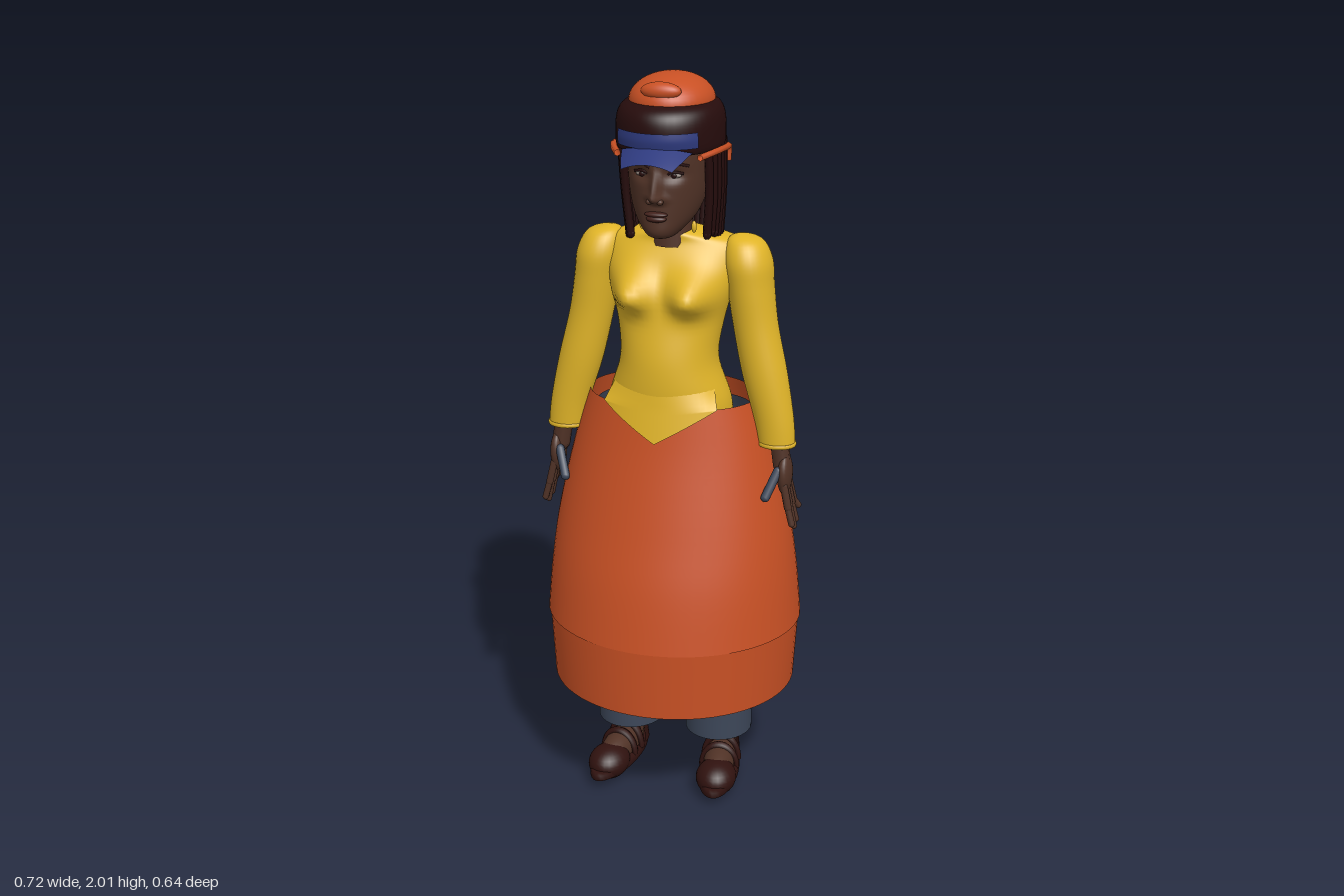
import * as THREE from 'three';
import { mergeVertices } from 'three/addons/utils/BufferGeometryUtils.js';

const paint = (name, color, side = THREE.FrontSide) => {
  const m = new THREE.MeshStandardMaterial({ color, side });
  m.name = name;
  return m;
};

// Surface from fn(u, v) -> [x, y, z], smooth and welded
function grid(fn, nu, nv, flip = false) {
  const pos = [], idx = [];
  for (let j = 0; j <= nv; j++) for (let i = 0; i <= nu; i++) pos.push(...fn(i / nu, j / nv));
  for (let j = 0; j < nv; j++) for (let i = 0; i < nu; i++) {
    const a = j * (nu + 1) + i, b = a + 1, c = a + nu + 1, d = c + 1;
    if (flip) idx.push(a, c, b, b, c, d); else idx.push(a, b, c, b, d, c);
  }
  const g = new THREE.BufferGeometry();
  g.setAttribute('position', new THREE.Float32BufferAttribute(pos, 3));
  g.setIndex(idx);
  const m = mergeVertices(g, 1e-5);
  m.computeVertexNormals();
  return m;
}

// Smooth skin over level ellipses [y, cx, cz, rx, rz]; angle 0 is the front
function loft(rings, { seg = 32, sub = 5, from = 0, to = Math.PI * 2, bend = p => p } = {}) {
  const n = rings.length - 1;
  const at = v => {
    const k = Math.min(Math.floor(v * n + 1e-9), n - 1), t = v * n - k;
    const [p, q, r, s] = [k - 1, k, k + 1, k + 2].map(i => rings[Math.max(0, Math.min(n, i))]);
    return q.map((_, i) => 0.5 * (2 * q[i] + (r[i] - p[i]) * t + (2 * p[i] - 5 * q[i] + 4 * r[i] - s[i]) * t * t
      + (3 * q[i] - p[i] - 3 * r[i] + s[i]) * t * t * t));
  };
  return grid((u, v) => {
    const [y, cx, cz, rx, rz] = at(v), a = from + (to - from) * u;
    return bend([cx + Math.max(0, rx) * Math.sin(a), y, cz + Math.max(0, rz) * Math.cos(a)]);
  }, seg, n * sub, rings[n][0] < rings[0][0]);
}

const ball = (rx, ry, rz, w = 24, h = 16) => new THREE.SphereGeometry(1, w, h).scale(rx, ry, rz);
const bump = (d, r) => Math.exp(-(d * d) / (r * r));

// Rounded rod between two points
function rod(p, q, r, seg = 8) {
  const a = new THREE.Vector3(...p), b = new THREE.Vector3(...q), d = b.clone().sub(a);
  const g = new THREE.CapsuleGeometry(r, d.length(), 4, seg);
  g.applyQuaternion(new THREE.Quaternion().setFromUnitVectors(new THREE.Vector3(0, 1, 0), d.normalize()));
  return g.translate(...a.add(b).multiplyScalar(0.5).toArray());
}
const tube = (pts, r) => new THREE.TubeGeometry(
  new THREE.CatmullRomCurve3(pts.map(p => new THREE.Vector3(...p))), 16, r, 6);

export function createModel() {
  const D = THREE.DoubleSide;
  const orange = paint('orange cloth', 0xc85024, D), yellow = paint('yellow cloth', 0xe0b428, D);
  const denim = paint('grey blue denim', 0x3c4658, D), blue = paint('blue cap', 0x2e3a7e, D);
  const skin = paint('brown skin', 0x503226), hairMat = paint('dark hair', 0x260c0c, D);
  const leather = paint('dark leather', 0x30120f, D), lip = paint('lips', 0x42211b);
  const white = paint('eye white', 0x8c8078);
  const model = new THREE.Group();
  const add = (name, geo, mat, pos = [0, 0, 0], parent = model) => {
    const m = new THREE.Mesh(geo, mat);
    m.name = name;
    m.position.set(...pos);
    parent.add(m);
    return m;
  };

  // Skirt with a separate hem band
  add('skirt', loft([[0.495, 0, 0, 0.356, 0.322], [0.65, 0, 0, 0.343, 0.291], [0.8, 0, 0, 0.321, 0.25],
    [1.0, 0, 0, 0.275, 0.198], [1.14, 0, 0.005, 0.23, 0.165]], { seg: 64 }), orange);
  add('skirtHem', loft([[0.305, 0, 0, 0.339, 0.32], [0.495, 0, 0, 0.351, 0.32]], { seg: 64 }), orange);

  // Bodice, shaped at the bust
  add('bodice', loft([[1.04, 0, 0.02, 0.17, 0.13], [1.14, 0, 0.035, 0.165, 0.135], [1.25, 0, 0.045, 0.132, 0.125],
    [1.35, 0, 0.03, 0.142, 0.12], [1.45, 0, 0.015, 0.17, 0.11], [1.52, 0, -0.008, 0.19, 0.1],
    [1.565, 0, -0.015, 0.175, 0.083], [1.588, 0, 0, 0.085, 0.07], [1.595, 0, 0.01, 0.055, 0.055]], {
    seg: 72, sub: 6, bend: ([x, y, z]) => {
      if (z > 0) z += 0.075 * bump(Math.abs(x) - 0.082, 0.052) * bump(y - 1.435, y < 1.435 ? 0.04 : 0.06);
      else z += 0.018 * bump(x, 0.03) * bump(y - 1.35, 0.15);
      return [x, y, z];
    } }), yellow);

  // Pointed front of the bodice, lying over the skirt
  add('bodicePoint', grid((u, v) => {
    const s = u * 2 - 1, over = (x, y) => {
      const k = (1.14 - y) / 0.14;
      return 0.013 - 0.005 * k + (0.165 + 0.033 * k) * Math.sqrt(1 - (x / (0.23 + 0.045 * k)) ** 2);
    };
    const x = 0.155 * s;
    if (v < 0.4) {
      const t = v / 0.4, xt = 0.136 * s, zt = 0.04 + 0.13 * Math.sqrt(1 - (0.92 * s) ** 2);
      return [xt + (x - xt) * t, 1.19 - 0.05 * t, zt + (over(x, 1.14) - zt) * t];
    }
    const y = 1.14 - 0.09 * (1 - Math.abs(s)) * (v - 0.4) / 0.6;
    return [x, y, over(x, y)];
  }, 24, 10, true), yellow);

  for (const s of [1, -1]) {
    // Sleeve and cuff
    add('sleeve', loft([[1.586, s * 0.175, -0.005, 0, 0], [1.57, s * 0.19, -0.003, 0.045, 0.05],
      [1.52, s * 0.2, 0, 0.064, 0.076], [1.45, s * 0.21, 0.005, 0.062, 0.073], [1.35, s * 0.226, 0.014, 0.06, 0.062],
      [1.22, s * 0.255, 0.024, 0.061, 0.057], [1.1, s * 0.284, 0.033, 0.054, 0.047],
      [1.025, s * 0.295, 0.038, 0.05, 0.041]]), yellow);
    add('cuff', new THREE.TorusGeometry(1, 0.08, 6, 24).rotateX(Math.PI / 2).scale(0.049, 0.08, 0.041),
      yellow, [s * 0.295, 1.03, 0.038]);

    // Hand
    add('wrist', rod([s * 0.3, 1.05, 0.04], [s * 0.312, 0.97, 0.042], 0.025), skin);
    add('palm', ball(0.02, 0.058, 0.042), skin, [s * 0.32, 0.945, 0.042]);
    for (let i = 0; i < 4; i++) {
      const z = 0.07 - i * 0.019, tip = [0.815, 0.8, 0.81, 0.84][i], zt = 0.077 - i * 0.026;
      const bow = [s * 0.337, 0.86, (z + zt) / 2 + 0.001];
      add('finger', rod([s * 0.324, 0.92, z], bow, 0.0105), skin);
      add('fingertip', rod(bow, [s * 0.349, tip, zt], 0.009), skin);
    }
    add('thumb', rod([s * 0.306, 0.96, 0.07], [s * 0.281, 0.895, 0.102], 0.0125), denim);

    // Trouser leg
    const leg = [[0.13, 0.13, -0.008, 0.094, 0.098], [0.3, 0.13, -0.008, 0.095, 0.098], [0.6, 0.122, 0, 0.105, 0.108],
      [0.9, 0.108, 0, 0.12, 0.13], [1.02, 0.1, -0.005, 0.13, 0.13], [1.1, 0.09, -0.005, 0.125, 0.11]];
    add('trouserLeg', loft(leg.map(([y, x, ...r]) => [y, s * x, ...r])), denim);
    add('trouserLining', new THREE.CircleGeometry(1, 32).rotateX(Math.PI / 2).scale(0.094, 1, 0.097),
      denim, [s * 0.13, 0.14, -0.008]);

    // Foot and sandal, toes turned out a little
    const foot = new THREE.Group();
    foot.name = 'foot';
    foot.position.set(s * 0.142, 0, 0);
    foot.rotation.y = s * 0.13;
    model.add(foot);
    add('sole', loft([[0.01, 0, 0.055, 0, 0], [0.01, 0, 0.055, 0.05, 0.15], [0.014, 0, 0.055, 0.056, 0.157],
      [0.03, 0, 0.055, 0.056, 0.157], [0.036, 0, 0.055, 0.05, 0.15], [0.036, 0, 0.055, 0, 0]],
      { sub: 1 }), leather, [0, 0, 0], foot);
    add('barefoot', ball(0.044, 0.045, 0.125), skin, [0, 0.048, 0.04], foot);
    add('ankle', rod([0, 0.07, -0.03], [0, 0.17, -0.02], 0.038, 16), skin, [0, 0, 0], foot);
    add('toeCover', ball(0.057, 0.048, 0.07), leather, [0, 0.035, 0.125], foot);
    add('heelCup', loft([[0.03, 0, -0.02, 0.05, 0.075], [0.075, 0, -0.02, 0.047, 0.065], [0.1, 0, -0.02, 0.045, 0.058]],
      { from: 1.5, to: 4.78, seg: 16 }), leather, [0, 0, 0], foot);
    for (const [z, h] of [[0.01, 0.075], [0.055, 0.066]]) {
      add('strap', new THREE.TorusGeometry(1, 0.16, 6, 20, Math.PI).scale(0.05, h, 0.075),
        leather, [0, 0.03, z], foot);
    }
  }

  // Neck and head with brow, nose and eye sockets
  add('neck', new THREE.CylinderGeometry(0.05, 0.058, 0.13, 24), skin, [0, 1.62, 0.022]);
  add('head', loft([[1.592, 0, 0.125, 0, 0], [1.598, 0, 0.12, 0.03, 0.035], [1.615, 0, 0.1, 0.052, 0.069],
    [1.65, 0, 0.07, 0.08, 0.098], [1.7, 0, 0.05, 0.098, 0.118], [1.76, 0, 0.04, 0.106, 0.128],
    [1.83, 0, 0.035, 0.11, 0.128], [1.86, 0, 0.03, 0.1, 0.12]], {
    seg: 80, sub: 8, bend: ([x, y, z]) => {
      if (z > 0.08) {
        const ridge = y > 1.705 ? Math.max(0, 1 - (y - 1.705) / 0.075) : Math.max(0, 1 - (1.705 - y) / 0.018);
        z += 0.043 * ridge * bump(x, 0.011 + 0.008 * bump(y - 1.702, 0.015));
        z -= 0.013 * bump(Math.abs(x) - 0.042, 0.026) * bump(y - 1.763, 0.016);
      }
      return [x, y, z];
    } }), skin);
  add('upperLip', ball(0.031, 0.007, 0.014), lip, [0, 1.664, 0.169]);
  add('lowerLip', ball(0.027, 0.009, 0.015), lip, [0, 1.652, 0.167]);
  for (const s of [1, -1]) {
    add('eye', ball(0.018, 0.007, 0.008), white, [s * 0.042, 1.762, 0.144]);
    add('iris', ball(0.007, 0.007, 0.004), hairMat, [s * 0.042, 1.762, 0.151]);
    add('eyelid', tube([[s * 0.022, 1.764, 0.152], [s * 0.042, 1.771, 0.151], [s * 0.064, 1.766, 0.138]], 0.004), hairMat);
    add('eyebrow', tube([[s * 0.018, 1.782, 0.162], [s * 0.045, 1.793, 0.156], [s * 0.075, 1.785, 0.13]], 0.004), hairMat);
    add('nostril', ball(0.009, 0.008, 0.011, 12, 8), skin, [s * 0.014, 1.699, 0.18]);
    add('earring', ball(0.007, 0.016, 0.007, 12, 8), yellow, [s * 0.07, 1.61, 0.06]);
    // Band running back over the ear
    add('earBand', tube([[s * 0.108, 1.81, 0.145], [s * 0.136, 1.817, 0.09], [s * 0.144, 1.815, 0.03],
      [s * 0.14, 1.807, -0.02], [s * 0.138, 1.772, -0.022]], 0.009), orange);
  }

  // Hair: crown, back curtain and hanging locks
  add('hairCrown', loft([[1.815, 0, 0.03, 0.115, 0.14], [1.82, 0, 0.03, 0.137, 0.158], [1.86, 0, 0.03, 0.14, 0.166],
    [1.9, 0, 0.03, 0.136, 0.162], [1.925, 0, 0.027, 0.122, 0.145], [1.94, 0, 0.02, 0.09, 0.11]], { seg: 48 }), hairMat);
  add('hairBack', loft([[1.84, 0, 0.02, 0.137, 0.156], [1.7, 0, 0.005, 0.126, 0.134], [1.58, 0, 0, 0.113, 0.113]],
    { from: 1.12, to: Math.PI * 2 - 1.12, seg: 40 }), hairMat);
  const locks = 30;
  for (let i = 0; i <= locks; i++) {
    const a = 1.08 + (Math.PI * 2 - 2.16) * i / locks, back = 0.5 - 0.5 * Math.cos(a);
    const end = 1.615 - 0.075 * Math.min(1, back * 1.25) + 0.014 * Math.sin(i * 7.3);
    const sx = Math.sin(a), cz = Math.cos(a);
    add('lock', tube([[0.13 * sx, 1.83, 0.02 + 0.145 * cz], [0.127 * sx, 1.7, 0.005 + 0.133 * cz],
      [0.117 * sx, end, 0.115 * cz]], 0.0115), hairMat);
    add('lockTip', ball(0.0115, 0.014, 0.0115, 8, 6), hairMat, [0.117 * sx, end, 0.115 * cz]);
  }

  // Cap: orange dome with a button, blue front band and visor
  add('capDome', ball(0.11, 0.07, 0.13, 40, 24), orange, [0, 1.93, 0.02]);
  add('capButton', ball(0.053, 0.022, 0.024), orange, [0, 1.968, 0.121]).rotation.x = 0.35;
  add('capBand', loft([[1.835, 0, 0.03, 0.146, 0.17], [1.855, 0, 0.03, 0.147, 0.173], [1.875, 0, 0.03, 0.145, 0.171]],
    { from: -0.8, to: 0.8, seg: 24 }), blue);
  add('visor', grid((u, v) => {
    const s = u * 2 - 1, x = s * (0.092 - 0.026 * v);
    const root = 0.03 + 0.165 * Math.sqrt(1 - (x / 0.143) ** 2);
    return [x, 1.84 - 0.03 * v - 0.016 * s * s, root + (0.26 - 0.008 * s * s - root) * v];
  }, 16, 8, true), blue);

  return model;
}
